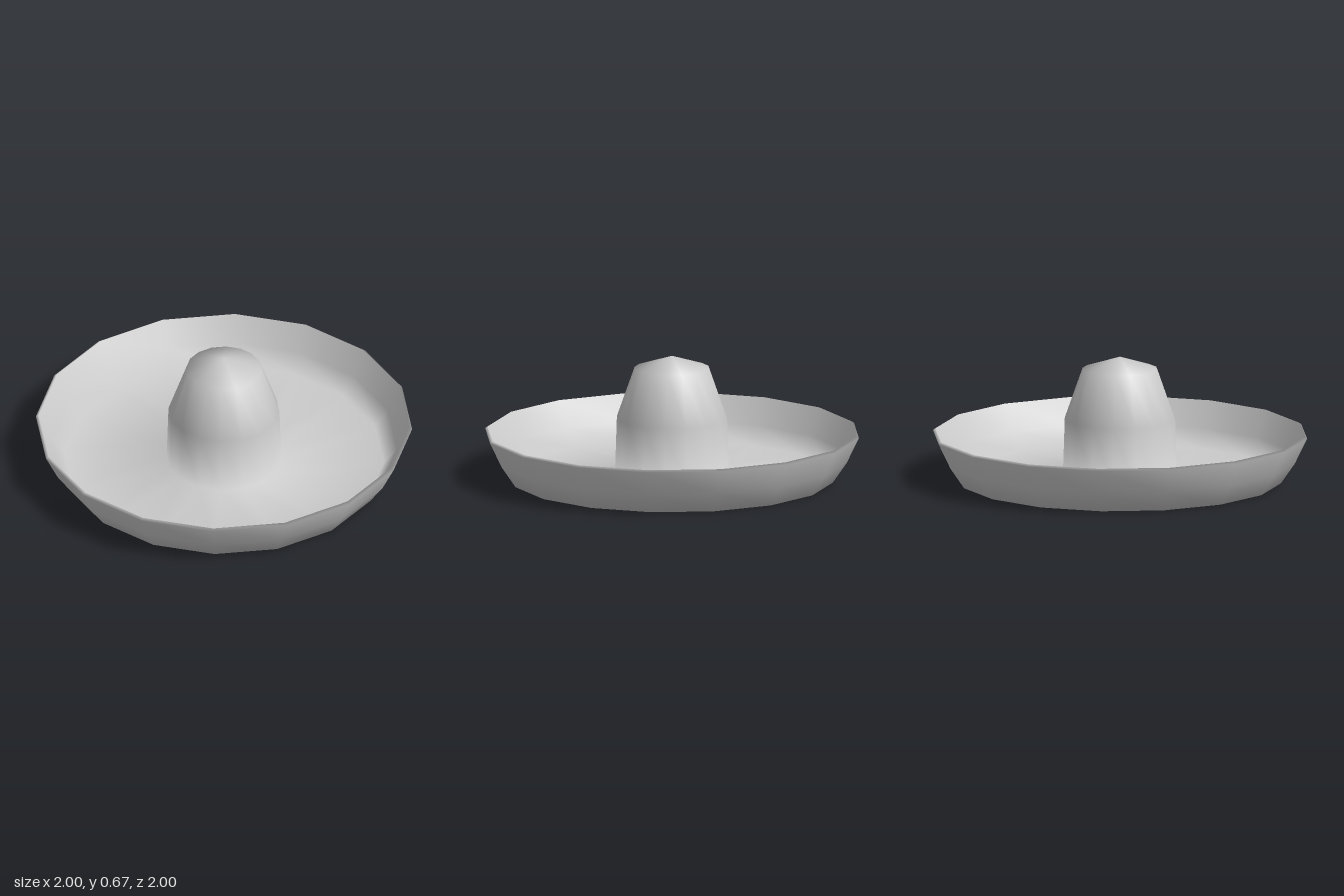
import * as THREE from 'three';
import { mergeVertices } from 'three/addons/utils/BufferGeometryUtils.js';

const SIDES = 16;

// Revolve a profile and weld it so the shading is smooth across the seam
function revolve(profile) {
  const lathe = new THREE.LatheGeometry(profile.map(([r, y]) => new THREE.Vector2(r, y)), SIDES);
  lathe.deleteAttribute('uv');
  lathe.deleteAttribute('normal');
  const geometry = mergeVertices(lathe, 1e-4);
  geometry.computeVertexNormals();
  return geometry;
}

export function createModel() {
  const group = new THREE.Group();
  group.name = 'wideBrimHat';
  const material = new THREE.MeshStandardMaterial({ color: 0xcccccc, side: THREE.DoubleSide });

  // Crown lining, open at the bottom
  const lining = [[0, 0.645], [0.19, 0.585], [0.285, 0.32], [0.297, 0]];
  // Underside of the brim, its upturned edge and the rounded lip
  const underside = [[0.297, 0], [0.86, 0], [0.935, 0.11], [1, 0.245], [0.985, 0.255]];
  // Upper face of the brim running up into the crown
  const upper = [[0.985, 0.255], [0.92, 0.115], [0.85, 0.02], [0.305, 0.02], [0.295, 0.33], [0.2, 0.6], [0, 0.665]];

  const parts = { crownLining: lining, brimUnderside: [...underside, ...upper.slice(1)] };
  for (const [name, profile] of Object.entries(parts)) {
    const mesh = new THREE.Mesh(revolve(profile), material);
    mesh.name = name === 'brimUnderside' ? 'brimAndCrown' : name;
    group.add(mesh);
  }
  return group;
}
